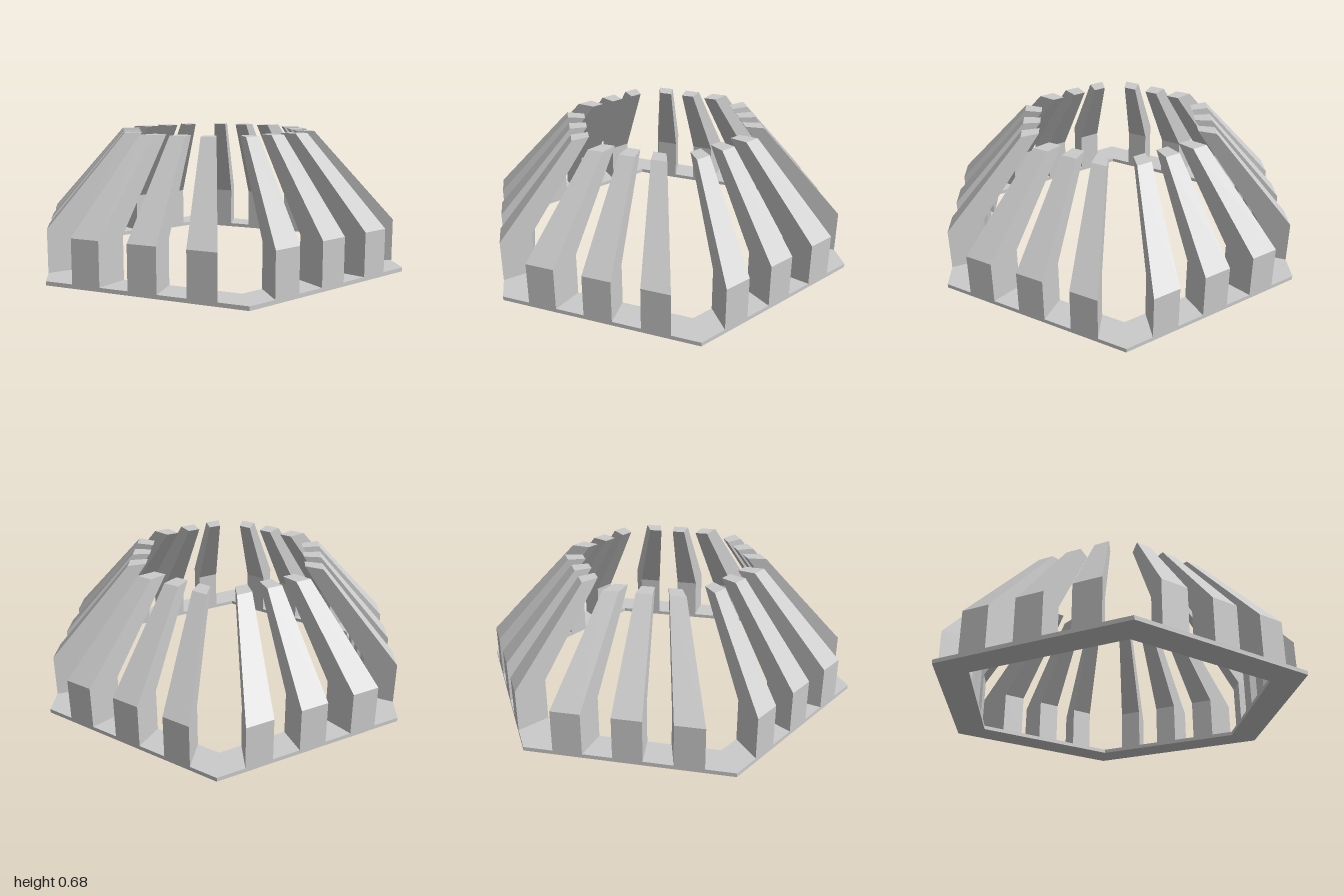
import * as THREE from 'three';

const OUTER = Math.sqrt(3) / 2; // distance from centre to the outer edge of a side
const INNER = 0.71;             // distance from centre to the inner edge of a side
const BASE_H = 0.02;

const material = new THREE.MeshStandardMaterial({ color: 0xcccccc, flatShading: true });

function hexagon(path, apothem) {
  const r = apothem / OUTER;
  const points = [];
  for (let i = 0; i < 6; i++) {
    const a = Math.PI / 2 + (i * Math.PI) / 3;
    points.push(new THREE.Vector2(r * Math.cos(a), r * Math.sin(a)));
  }
  return path.setFromPoints(points);
}

// Thin hexagonal ring on the ground
function baseRing() {
  const shape = hexagon(new THREE.Shape(), OUTER);
  shape.holes.push(hexagon(new THREE.Path(), INNER));
  const geometry = new THREE.ExtrudeGeometry(shape, { depth: BASE_H, bevelEnabled: false });
  geometry.rotateX(-Math.PI / 2);
  return geometry;
}

// Upright post that bends and tapers inward; z0 and z1 are its edges on the outer side
function ribGeometry(z0, z1) {
  const t = INNER / OUTER;
  const section = [[OUTER, z0], [OUTER, z1], [INNER, z1 * t], [INNER, z0 * t]];
  const levels = [[BASE_H, 1], [0.235, 1], [0.68, 0.561]]; // height, scale to the centre
  const positions = [];
  for (const [y, s] of levels) {
    for (const [x, z] of section) positions.push(x * s, y, z * s);
  }
  const index = [0, 1, 2, 0, 2, 3];
  for (let k = 0; k < levels.length - 1; k++) {
    for (let i = 0; i < 4; i++) {
      const a = k * 4 + i, b = k * 4 + ((i + 1) % 4);
      index.push(a, a + 4, b + 4, a, b + 4, b);
    }
  }
  const top = (levels.length - 1) * 4;
  index.push(top, top + 2, top + 1, top, top + 3, top + 2);

  const indexed = new THREE.BufferGeometry();
  indexed.setAttribute('position', new THREE.Float32BufferAttribute(positions, 3));
  indexed.setIndex(index);
  const geometry = indexed.toNonIndexed();
  geometry.computeVertexNormals();
  return geometry;
}

export function createModel() {
  const model = new THREE.Group();
  model.name = 'hexagonalRibbedFrame';

  const ring = new THREE.Mesh(baseRing(), material);
  ring.name = 'baseRing';
  model.add(ring);

  // Each side is split into seven equal parts; the second, fourth and sixth carry a rib
  const ribs = [1, 3, 5].map((n) => ribGeometry(n / 7 - 0.5, (n + 1) / 7 - 0.5));
  for (let side = 0; side < 6; side++) {
    const group = new THREE.Group();
    group.name = `ribSide${side + 1}`;
    group.rotation.y = (side * Math.PI) / 3;
    ribs.forEach((geometry, i) => {
      const rib = new THREE.Mesh(geometry, material);
      rib.name = `rib${i + 1}`;
      group.add(rib);
    });
    model.add(group);
  }
  return model;
}
